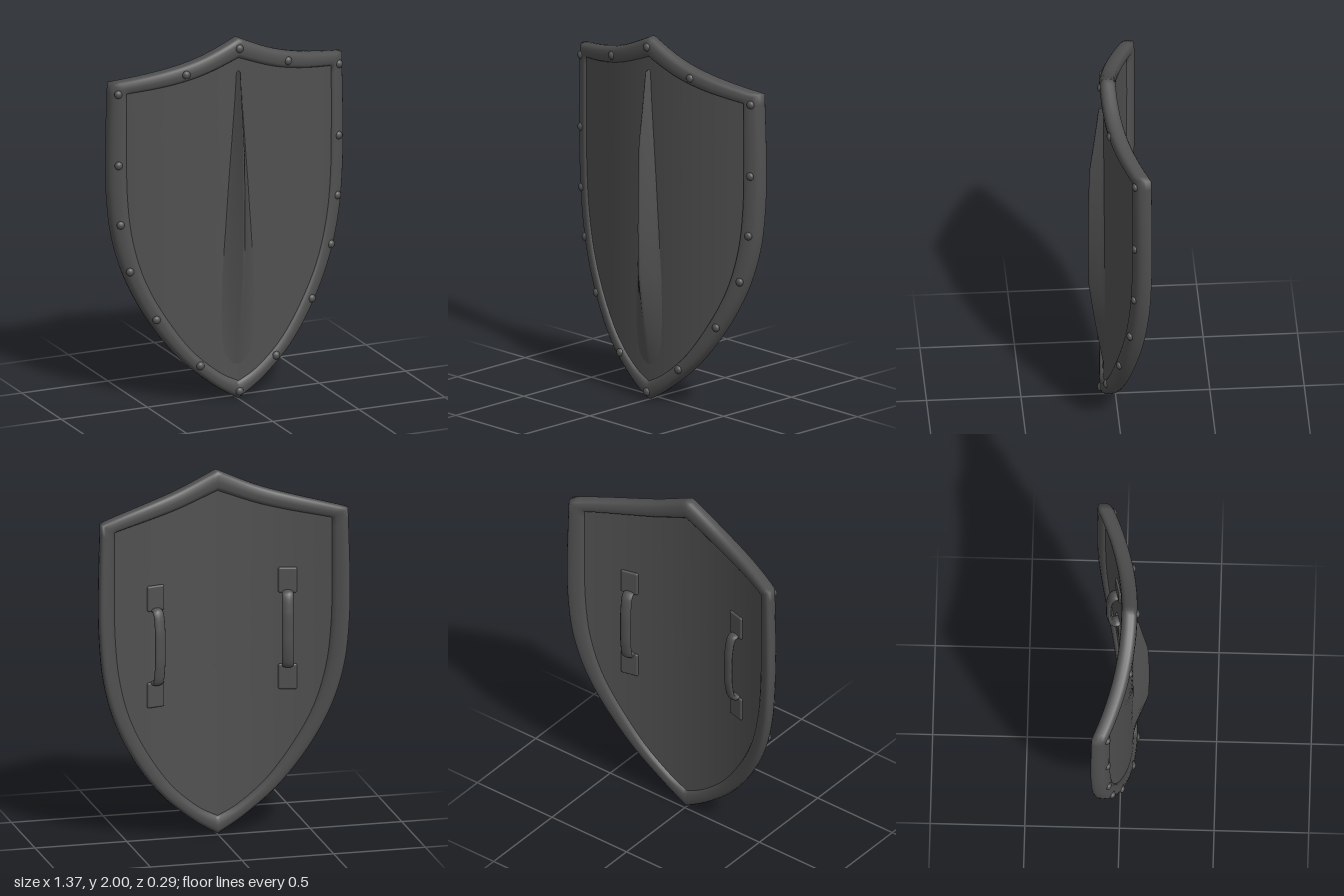
import * as THREE from 'three';
import { RoundedBoxGeometry } from 'three/addons/geometries/RoundedBoxGeometry.js';

const steel = new THREE.MeshStandardMaterial({ color: 0x505050 });
steel.name = 'dark steel';

// the whole shield is bowed backwards towards its sides
const BOW = 0.34;
const bowZ = (x) => 0.04 - BOW * x * x;

// smooth surface through rows of points; flip reverses the facing
function surface(rows, { flip = false, closeI = false, closeJ = false } = {}) {
  const n = rows.length, m = rows[0].length, index = [];
  for (let i = 0; i < (closeI ? n : n - 1); i++) {
    for (let j = 0; j < (closeJ ? m : m - 1); j++) {
      const i2 = (i + 1) % n, j2 = (j + 1) % m;
      const a = i * m + j, b = i2 * m + j, c = i2 * m + j2, d = i * m + j2;
      if (flip) index.push(a, d, b, b, d, c);
      else index.push(a, b, d, b, c, d);
    }
  }
  const g = new THREE.BufferGeometry();
  g.setAttribute('position', new THREE.Float32BufferAttribute(rows.flat(2), 3));
  g.setIndex(index);
  g.computeVertexNormals();
  return g;
}

// closed outline, clockwise from the top peak, from a top edge and a side edge
function outline(top, side) {
  const sample = (pts, n) =>
    new THREE.SplineCurve(pts.map((p) => new THREE.Vector2(...p))).getPoints(n);
  const half = [...sample(top, 16), ...sample(side, 40).slice(1)];
  const mirrored = half.slice(1, -1).reverse().map((p) => new THREE.Vector2(-p.x, p.y));
  return [...half, ...mirrored];
}

const outer = outline(
  [[0, 2], [0.2, 1.91], [0.4, 1.85], [0.675, 1.79]],
  [[0.675, 1.79], [0.685, 1.4], [0.68, 1.15], [0.655, 0.92], [0.59, 0.69],
    [0.475, 0.46], [0.32, 0.25], [0.14, 0.09], [0, 0]]);
const inner = outline(
  [[0, 1.885], [0.2, 1.81], [0.38, 1.765], [0.59, 1.73]],
  [[0.59, 1.73], [0.59, 1.4], [0.585, 1.15], [0.56, 0.92], [0.5, 0.7],
    [0.4, 0.5], [0.26, 0.3], [0.11, 0.165], [0, 0.105]]);

export function createModel() {
  const shield = new THREE.Group();
  shield.name = 'shield';
  const add = (name, geometry, parent = shield) => {
    const mesh = new THREE.Mesh(geometry, steel);
    mesh.name = name;
    parent.add(mesh);
    return mesh;
  };

  // rounded rim swept between the outer and inner outlines
  const soft = (v) => Math.sign(v) * Math.abs(v) ** 0.75;
  const rim = outer.map((o, i) => {
    const p = inner[i], ring = [];
    for (let j = 0; j < 16; j++) {
      const a = (j / 16) * Math.PI * 2, k = 0.5 + 0.5 * soft(Math.cos(a));
      const x = p.x + (o.x - p.x) * k, y = p.y + (o.y - p.y) * k;
      ring.push([x, y, bowZ(x) + 0.043 * soft(Math.sin(a))]);
    }
    return ring;
  });
  add('rim', surface(rim, { flip: true, closeI: true, closeJ: true }));

  // bowed front and back panels, filled in rings to the middle of the rim
  const panel = (offset) => {
    const rows = [];
    for (let i = 0; i <= 14; i++) {
      const s = Math.max(i / 14, 0.001);
      rows.push(outer.map((o, j) => {
        const x = s * (o.x + inner[j].x) / 2;
        const y = 0.95 + s * ((o.y + inner[j].y) / 2 - 0.95);
        return [x, y, bowZ(x) + offset];
      }));
    }
    return rows;
  };
  add('frontPanel', surface(panel(0.024), { flip: true, closeJ: true }));
  add('backPanel', surface(panel(-0.022), { closeJ: true }));

  // central spine: height, half width, ridge z
  const stations = [[1.82, 0.004, 0.06], [1.81, 0.014, 0.09], [1.65, 0.024, 0.108],
    [1.42, 0.042, 0.138], [1.2, 0.06, 0.144], [0.95, 0.078, 0.146], [0.7, 0.098, 0.142],
    [0.5, 0.108, 0.115], [0.35, 0.112, 0.09], [0.25, 0.105, 0.074], [0.16, 0.08, 0.058]];
  const spine = stations.map(([y, w, ridge]) => {
    const row = [];
    for (let j = -10; j <= 10; j++) {
      const u = j / 10, x = u * w, base = bowZ(x) + 0.02;
      row.push([x, y, base + (ridge - 0.06) * (1 - Math.abs(u)) ** 1.15]);
    }
    return row;
  });
  add('spine', surface(spine));

  // rivets around the rim
  const rivet = (x, y) => {
    const mesh = add('rivet', new THREE.SphereGeometry(0.023, 14, 10));
    mesh.position.set(x, y, bowZ(x) + 0.038);
    mesh.scale.z = 0.8;
  };
  rivet(0, 1.945);
  rivet(0, 0.045);
  for (const [x, y] of [[0.295, 1.83], [0.64, 1.735], [0.638, 1.34], [0.628, 1.01],
    [0.582, 0.75], [0.45, 0.48], [0.22, 0.21]]) {
    rivet(x, y);
    rivet(-x, y);
  }

  // grips on the back, each an arched strap between two mounting plates
  const arch = new THREE.CatmullRomCurve3(
    [[0.2, 0.01], [0.195, -0.03], [0.11, -0.053], [0, -0.057], [-0.11, -0.053],
      [-0.195, -0.03], [-0.2, 0.01]].map(([y, z]) => new THREE.Vector3(0, y, z)));
  const strap = new THREE.TubeGeometry(arch, 40, 0.014, 10).scale(2.2, 1, 1);
  const plate = new RoundedBoxGeometry(0.1, 0.14, 0.024, 3, 0.01);
  for (const [name, x, y] of [['leftGrip', 0.35, 1.07], ['rightGrip', -0.37, 1.12]]) {
    const grip = new THREE.Group();
    grip.name = name;
    grip.position.set(x, y, bowZ(x) - 0.022);
    grip.rotation.y = Math.atan(2 * BOW * x);
    add('strap', strap, grip);
    for (const s of [1, -1]) add('mountingPlate', plate, grip).position.y = s * 0.265;
    shield.add(grip);
  }
  return shield;
}
